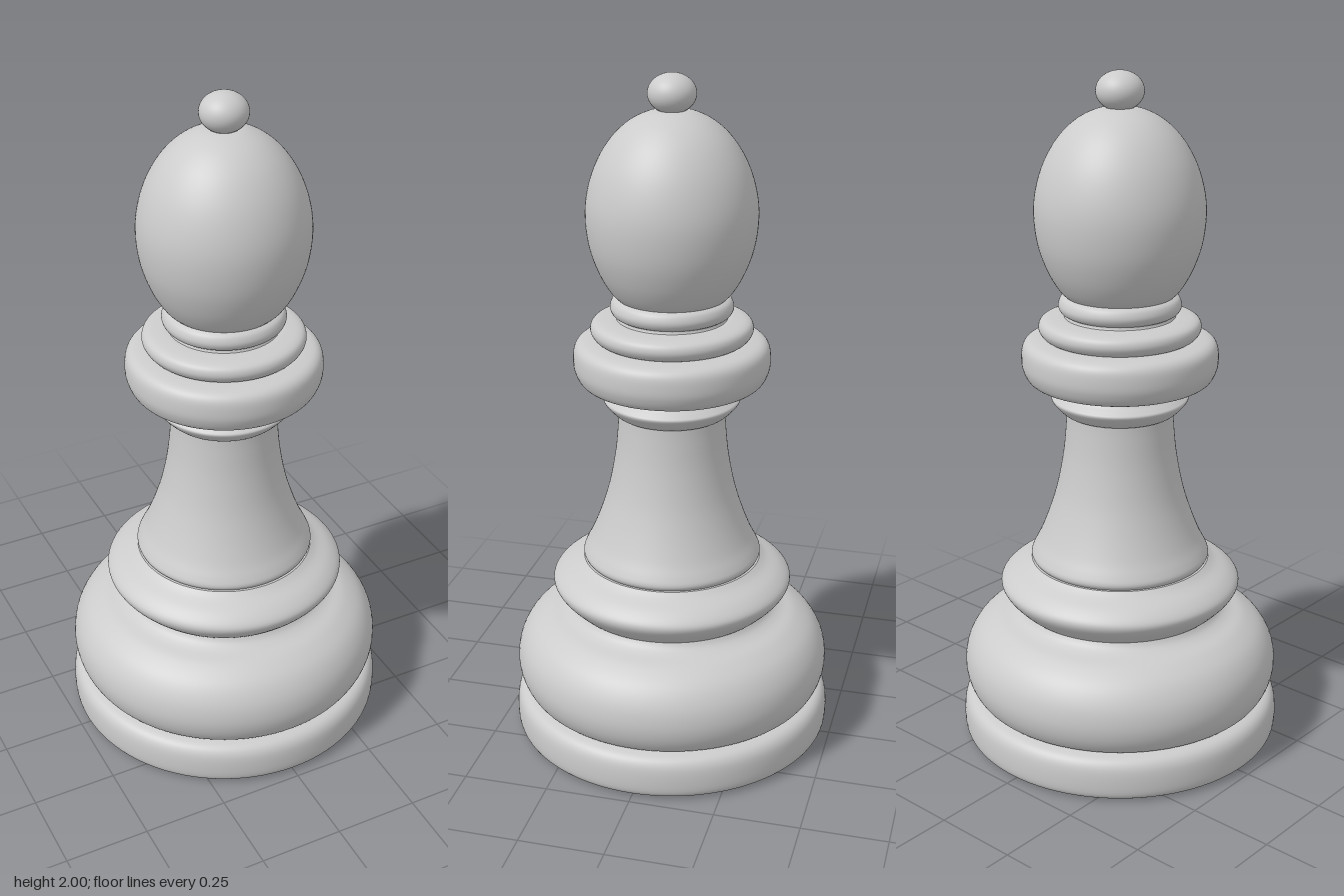
import * as THREE from 'three';
import { mergeGeometries } from 'three/addons/utils/BufferGeometryUtils.js';

const SEGMENTS = 96;

// Flat disc closing one end of a turned part
function cap([radius, y], up) {
  return new THREE.CircleGeometry(radius, SEGMENTS)
    .rotateX(up ? -Math.PI / 2 : Math.PI / 2)
    .translate(0, y, 0);
}

// Smooth turned solid through [radius, height] points, bottom to top
function turned(profile, steps = 5) {
  const curve = new THREE.SplineCurve(profile.map(([r, y]) => new THREE.Vector2(r, y)));
  const side = new THREE.LatheGeometry(curve.getPoints((profile.length - 1) * steps), SEGMENTS);
  return mergeGeometries([side, cap(profile[0], false), cap(profile.at(-1), true)]);
}

const PARTS = {
  plinth: [[0.455, 0], [0.473, 0.012], [0.48, 0.035], [0.48, 0.08], [0.473, 0.11], [0.455, 0.128], [0.42, 0.136]],
  baseCushion: [[0.42, 0.13], [0.445, 0.145], [0.466, 0.185], [0.473, 0.235], [0.462, 0.29], [0.43, 0.34],
    [0.38, 0.375], [0.335, 0.39], [0.312, 0.403], [0.3, 0.42]],
  baseRing: [[0.295, 0.412], [0.315, 0.428], [0.345, 0.46], [0.358, 0.485], [0.352, 0.505], [0.325, 0.528],
    [0.285, 0.548], [0.265, 0.562]],
  stem: [[0.25, 0.555], [0.262, 0.567], [0.265, 0.58], [0.257, 0.6], [0.237, 0.64], [0.21, 0.71], [0.186, 0.79],
    [0.167, 0.89], [0.158, 0.98], [0.156, 1.03]],
  lowerCollar: [[0.152, 1.018], [0.166, 1.024], [0.185, 1.042], [0.2, 1.063], [0.19, 1.075], [0.173, 1.09],
    [0.166, 1.115]],
  wideCollar: [[0.19, 1.106], [0.235, 1.112], [0.265, 1.125], [0.281, 1.155], [0.285, 1.185], [0.281, 1.22],
    [0.265, 1.239], [0.235, 1.246], [0.2, 1.248]],
  upperCollar: [[0.205, 1.244], [0.223, 1.254], [0.234, 1.274], [0.229, 1.294], [0.21, 1.304], [0.175, 1.308]],
  neck: [[0.165, 1.3], [0.158, 1.312], [0.158, 1.325]],
  neckRing: [[0.155, 1.315], [0.17, 1.324], [0.177, 1.342], [0.17, 1.362], [0.155, 1.372]],
  head: [[0.15, 1.365], [0.175, 1.39], [0.207, 1.445], [0.233, 1.52], [0.243, 1.605], [0.235, 1.68],
    [0.21, 1.755], [0.17, 1.82], [0.12, 1.867], [0.065, 1.894], [0.02, 1.9]],
};

export function createModel() {
  const model = new THREE.Group();
  model.name = 'chessBishop';
  const material = new THREE.MeshStandardMaterial({ color: 0xcccccc });

  const add = (name, geometry) => {
    const mesh = new THREE.Mesh(geometry, material);
    mesh.name = name;
    model.add(mesh);
    return mesh;
  };

  for (const [name, profile] of Object.entries(PARTS)) add(name, turned(profile));

  // Slightly flattened ball on top of the head
  const finial = add('finial', new THREE.SphereGeometry(0.068, 48, 24));
  finial.scale.y = 0.82;
  finial.position.y = 2 - 0.068 * 0.82;

  return model;
}
